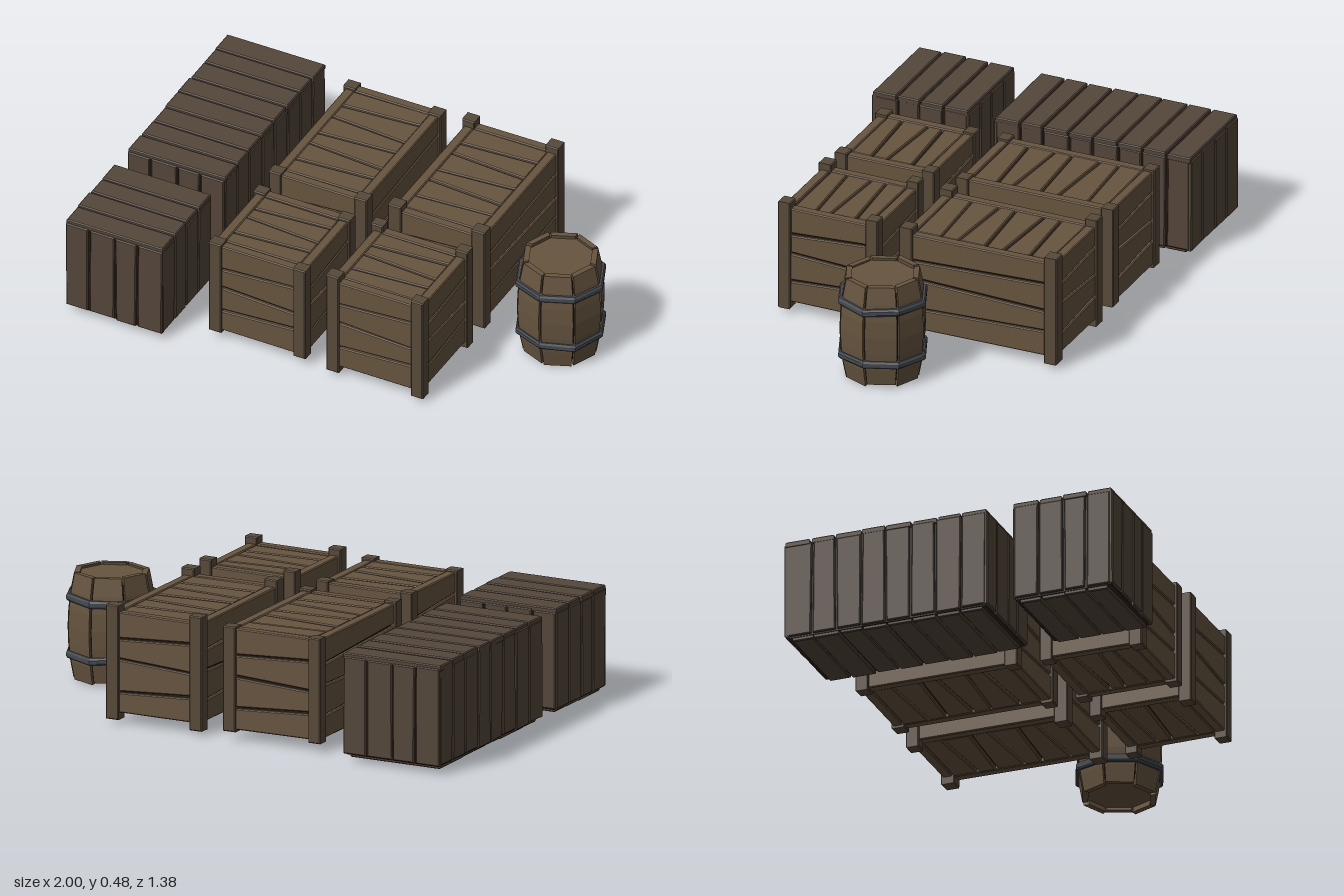
import * as THREE from 'three';

const mat = (color) => new THREE.MeshStandardMaterial({ color, flatShading: true });
const WOOD = mat(0x66543f), FRAME = mat(0x574939), SLAT = mat(0x54463a), GAP = mat(0x2a221a), IRON = mat(0x454a50);

// Small seeded generator for hand-made irregularity, range -1..1
let seed = 7;
const jit = (a) => {
  seed = (seed * 16807) % 2147483647;
  return (seed / 2147483647 * 2 - 1) * a;
};

function add(group, name, geo, material, x = 0, y = 0, z = 0) {
  const mesh = new THREE.Mesh(geo, material);
  mesh.name = name;
  mesh.position.set(x, y, z);
  group.add(mesh);
  return mesh;
}

// Four-cornered board with chamfered edges, its outer face at z = 0
function board(corners, depth) {
  const b = 0.004;
  const geo = new THREE.ExtrudeGeometry(new THREE.Shape(corners), {
    depth: depth - 2 * b, bevelEnabled: true, bevelSize: b, bevelThickness: b, bevelOffset: -b, bevelSegments: 1,
  });
  return geo.translate(0, 0, b - depth);
}

// Row of n boards filling w x h; boards run along x, or along y when upright
function panel(name, w, h, n, o) {
  const g = new THREE.Group();
  g.name = name;
  const [len, span] = o.upright ? [h, w] : [w, h];
  const seams = [];
  for (let i = 0; i <= n; i++) {
    const edge = i === 0 || i === n;
    const s = -span / 2 + (span * i) / n + (edge ? 0 : jit(0.006));
    const tilt = edge ? 0 : (i % 2 ? 1 : -1) * o.slant;
    seams.push([s - tilt, s + tilt]);
  }
  for (let i = 0; i < n; i++) {
    const gap = () => 0.002 + Math.abs(jit(o.gap));
    const l = len / 2 - Math.abs(jit(o.ragged)), r = len / 2 - Math.abs(jit(o.ragged));
    const pts = [
      [-l, seams[i][0] + gap()], [r, seams[i][1] + gap()],
      [r, seams[i + 1][1] - gap()], [-l, seams[i + 1][0] - gap()],
    ].map(([u, v]) => (o.upright ? new THREE.Vector2(v, u) : new THREE.Vector2(u, v)));
    add(g, 'plank', board(pts, o.depth), o.material, 0, 0, -Math.abs(jit(0.003)));
  }
  return g;
}

// Puts panels on the six faces of a box w x h x d centred on the group's origin
function placeFaces(g, w, h, d, make) {
  const P = Math.PI;
  const faces = [
    ['front', 0, 0, [0, 0, d / 2]], ['back', 0, P, [0, 0, -d / 2]],
    ['left', 0, P / 2, [w / 2, 0, 0]], ['right', 0, -P / 2, [-w / 2, 0, 0]],
    ['top', -P / 2, 0, [0, h / 2, 0]], ['bottom', P / 2, 0, [0, -h / 2, 0]],
  ];
  for (const [name, rx, ry, pos] of faces) {
    const p = make(name);
    p.rotation.set(rx, ry, 0);
    p.position.set(...pos);
    g.add(p);
  }
}

// Crate with corner posts and horizontal wall boards around an inset lid
function framedCrate(name, x, z, w, d, postLow, postHigh) {
  const g = new THREE.Group();
  g.name = name;
  const y0 = 0.042, y1 = 0.455, h = y1 - y0, inset = 0.008, post = 0.055;
  g.position.set(x, (y0 + y1) / 2, z);
  const W = w - 2 * inset, D = d - 2 * inset, rail = 0.04;
  const lidRows = d > 0.5 ? 6 : 4;
  placeFaces(g, W, h - 0.01, D, (face) => {
    const flat = face === 'top' || face === 'bottom';
    const side = face === 'left' || face === 'right';
    const pw = flat ? W - 2 * rail : (side ? D : W) - 0.02;
    const ph = flat ? D - 2 * rail : h;
    return panel(face + 'Panel', pw, ph, flat ? lidRows : 4,
      { slant: 0.011, gap: 0.004, ragged: 0, depth: flat ? 0.025 : rail, material: WOOD });
  });
  add(g, 'innerCore', new THREE.BoxGeometry(W - 0.03, h - 0.04, D - 0.03), GAP);
  const high = postHigh - g.position.y, low = postLow - g.position.y;
  for (const sx of [-1, 1]) for (const sz of [-1, 1]) {
    const size = post + jit(0.003), q = size / 2;
    const geo = board([[-q, low], [q, low], [q, high], [-q, high]].map((p) => new THREE.Vector2(...p)), size);
    add(g, 'cornerPost', geo, FRAME, sx * (w / 2 - q), 0, sz * (d / 2 - q) + q);
  }
  return g;
}

// Crate closed with boards on every face, without posts
function slatCrate(name, x, z, d, rows) {
  const g = new THREE.Group();
  g.name = name;
  const w = 0.43, y0 = 0.015, y1 = 0.443, h = y1 - y0;
  g.position.set(x, (y0 + y1) / 2, z);
  placeFaces(g, w, h, d, (face) => {
    const top = face === 'top', bottom = face === 'bottom', side = face === 'left' || face === 'right';
    const pw = side ? d - 0.014 : bottom ? w - 0.03 : w;
    const ph = top ? d - 0.008 : bottom ? d - 0.05 : h - 0.03;
    return panel(face + 'Slats', pw, ph, top || bottom || side ? rows : 4, {
      upright: !top && !bottom, slant: 0.001, gap: 0.004, ragged: 0.006, depth: 0.025, material: SLAT,
    });
  });
  add(g, 'innerCore', new THREE.BoxGeometry(w - 0.025, h - 0.03, d - 0.025), GAP);
  return g;
}

function barrel(x, z) {
  const g = new THREE.Group();
  g.name = 'barrel';
  g.position.set(x, 0, z);
  const H = 0.44, N = 8;
  const radius = (y) => 0.178 - 0.027 * Math.pow(Math.abs(y / H - 0.5) * 2, 2);

  // Bowed staves: a box wrapped onto the barrel's curve
  for (let i = 0; i < N; i++) {
    const geo = new THREE.BoxGeometry(1, 1, 1, 1, 6, 1);
    const p = geo.attributes.position;
    const low = i === 0 ? 0 : Math.abs(jit(0.014)), high = H - Math.abs(jit(0.01));
    for (let k = 0; k < p.count; k++) {
      const y = THREE.MathUtils.lerp(low, high, p.getY(k) + 0.5);
      const outer = p.getZ(k) > 0;
      const a = ((i + 0.5 + p.getX(k) * 0.93) / N) * Math.PI * 2;
      const r = radius(y) - (outer ? 0 : 0.024);
      p.setXYZ(k, r * Math.sin(a), y, r * Math.cos(a));
    }
    geo.computeVertexNormals();
    add(g, 'stave', geo, WOOD);
  }

  // Dark lining behind the seams, and the two heads
  const lining = [0.03, 0.13, 0.22, 0.31, 0.41].map((y) => new THREE.Vector2(radius(y) - 0.012, y));
  add(g, 'lining', new THREE.LatheGeometry(lining, N), GAP);
  for (const y of [0.035, 0.412]) add(g, 'head', new THREE.CylinderGeometry(0.137, 0.137, 0.02, N), WOOD, 0, y, 0);

  // Eight-sided iron hoops, slightly uneven
  for (const y of [0.107, 0.336]) {
    const prof = [[0.155, -0.015], [0.179, -0.015], [0.185, -0.007], [0.185, 0.007], [0.179, 0.015], [0.155, 0.015]];
    const geo = new THREE.LatheGeometry(prof.map((q) => new THREE.Vector2(...q)), N);
    const p = geo.attributes.position;
    for (let k = 0; k < p.count; k++) {
      const a = Math.atan2(p.getX(k), p.getZ(k));
      p.setY(k, p.getY(k) + 0.004 * Math.sin(3 * a + y * 20));
    }
    add(g, 'hoop', geo, IRON, 0, y, 0);
  }
  return g;
}

export function createModel() {
  const model = new THREE.Group();
  model.name = 'cratesAndBarrel';
  model.add(
    slatCrate('longSlatCrate', -0.785, -0.264, 0.856, 8),
    slatCrate('smallSlatCrate', -0.785, 0.478, 0.424, 4),
    framedCrate('longFramedCrate', -0.217, -0.281, 0.43, 0.68, 0.035, 0.46),
    framedCrate('longTallPostCrate', 0.304, -0.281, 0.425, 0.68, 0.018, 0.48),
    framedCrate('smallFramedCrate', -0.212, 0.365, 0.425, 0.43, 0.035, 0.46),
    framedCrate('smallTallPostCrate', 0.304, 0.365, 0.425, 0.43, 0.018, 0.48),
    barrel(0.815, -0.013),
  );
  return model;
}
